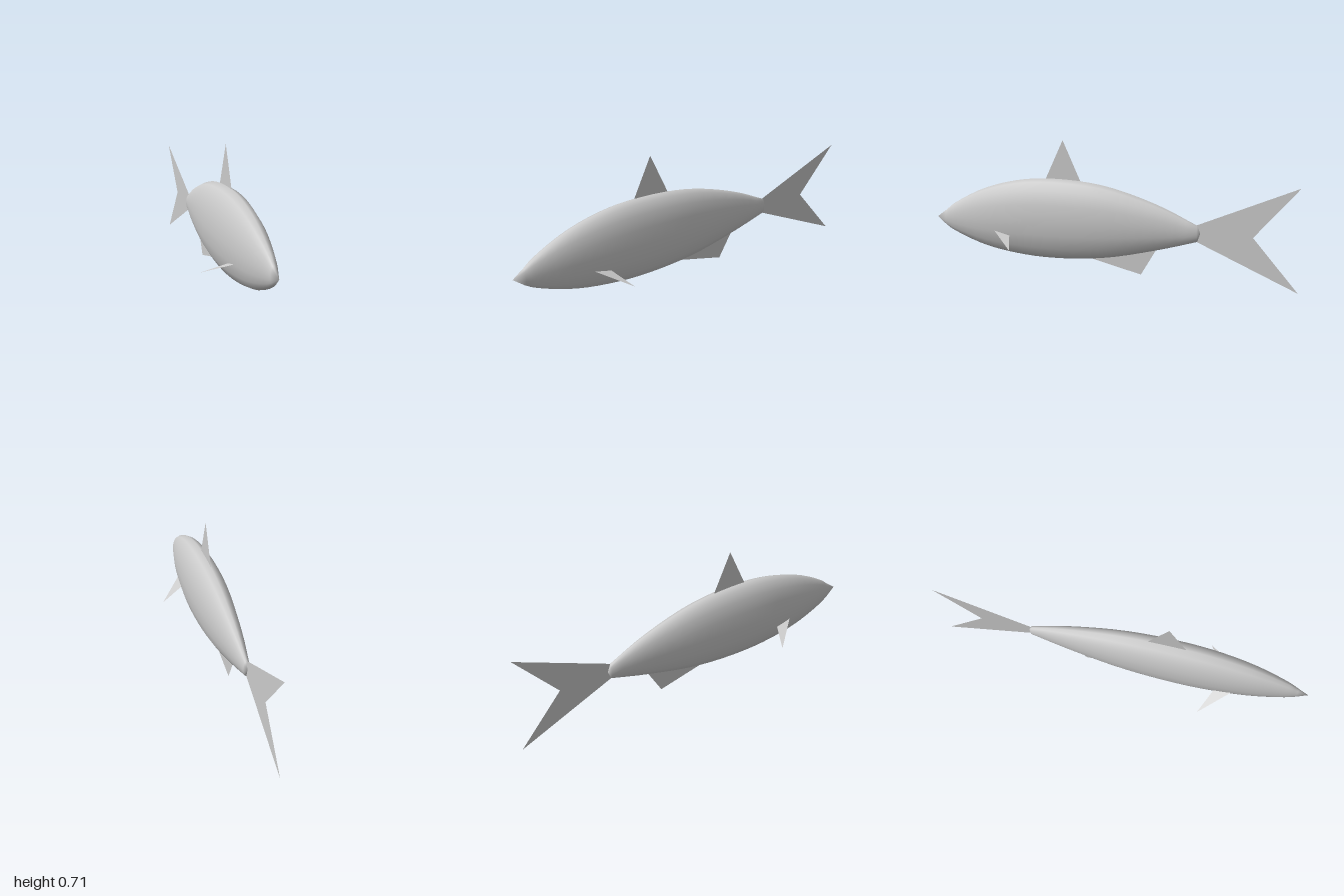
import * as THREE from 'three';

const material = new THREE.MeshStandardMaterial({ color: 0xcccccc });
const finMaterial = new THREE.MeshStandardMaterial({ color: 0xcccccc, side: THREE.DoubleSide });

// Body: elliptical rings along z, lofted between a nose point and a tail point
function bodyGeometry() {
  const sides = 16, rings = 28, aspect = 0.42;
  // each station: z, top y, bottom y
  const profile = new THREE.CatmullRomCurve3([
    [0.94, 0.305, 0.215], [0.89, 0.343, 0.187], [0.7, 0.436, 0.12], [0.48, 0.492, 0.085],
    [0.27, 0.505, 0.078], [0, 0.48, 0.1], [-0.29, 0.395, 0.163], [-0.495, 0.303, 0.22],
  ].map(p => new THREE.Vector3(...p)));

  const positions = [0, 0.262, 1];
  for (let r = 0; r < rings; r++) {
    const { x: z, y: top, z: bottom } = profile.getPoint(r / (rings - 1));
    const mid = (top + bottom) / 2, half = (top - bottom) / 2;
    for (let s = 0; s < sides; s++) {
      const a = (s / sides) * Math.PI * 2;
      positions.push(Math.cos(a) * half * aspect, mid + Math.sin(a) * half, z);
    }
  }
  positions.push(0, 0.262, -0.51);

  const index = [];
  const at = (r, s) => 1 + r * sides + (s % sides);
  const last = 1 + rings * sides;
  for (let s = 0; s < sides; s++) {
    index.push(0, at(0, s), at(0, s + 1));
    for (let r = 0; r < rings - 1; r++) {
      index.push(at(r, s), at(r + 1, s), at(r + 1, s + 1));
      index.push(at(r, s), at(r + 1, s + 1), at(r, s + 1));
    }
    index.push(last, at(rings - 1, s + 1), at(rings - 1, s));
  }

  const geometry = new THREE.BufferGeometry();
  geometry.setAttribute('position', new THREE.Float32BufferAttribute(positions, 3));
  geometry.setIndex(index);
  geometry.computeVertexNormals();
  return geometry;
}

// Flat fin on the centre plane, outlined by [z, y] points
function centreFin(name, outline) {
  const shape = new THREE.Shape(outline.map(([z, y]) => new THREE.Vector2(-z, y)));
  const geometry = new THREE.ShapeGeometry(shape).rotateY(Math.PI / 2);
  const fin = new THREE.Mesh(geometry, finMaterial);
  fin.name = name;
  return fin;
}

// Triangular side fin, mirrored by the sign of side
function pectoralFin(name, side) {
  const corners = [[0.07, 0.218, 0.61], [0.195, 0.143, 0.46], [0.07, 0.198, 0.52]];
  if (side < 0) corners.reverse();
  const geometry = new THREE.BufferGeometry().setFromPoints(
    corners.map(([x, y, z]) => new THREE.Vector3(x * side, y, z)));
  geometry.computeVertexNormals();
  const fin = new THREE.Mesh(geometry, finMaterial);
  fin.name = name;
  return fin;
}

export function createModel() {
  const fish = new THREE.Group();
  fish.name = 'fish';

  const body = new THREE.Mesh(bodyGeometry(), material);
  body.name = 'body';

  fish.add(
    body,
    centreFin('dorsalFin', [[0.34, 0.49], [0.235, 0.71], [0.13, 0.485]]),
    centreFin('analFin', [[0.09, 0.095], [-0.2, 0.027], [-0.285, 0.17]]),
    centreFin('tailFin', [[-0.48, 0.3], [-1, 0.515], [-0.775, 0.26], [-1, 0], [-0.48, 0.225]]),
    pectoralFin('leftPectoralFin', 1),
    pectoralFin('rightPectoralFin', -1),
  );
  return fish;
}
